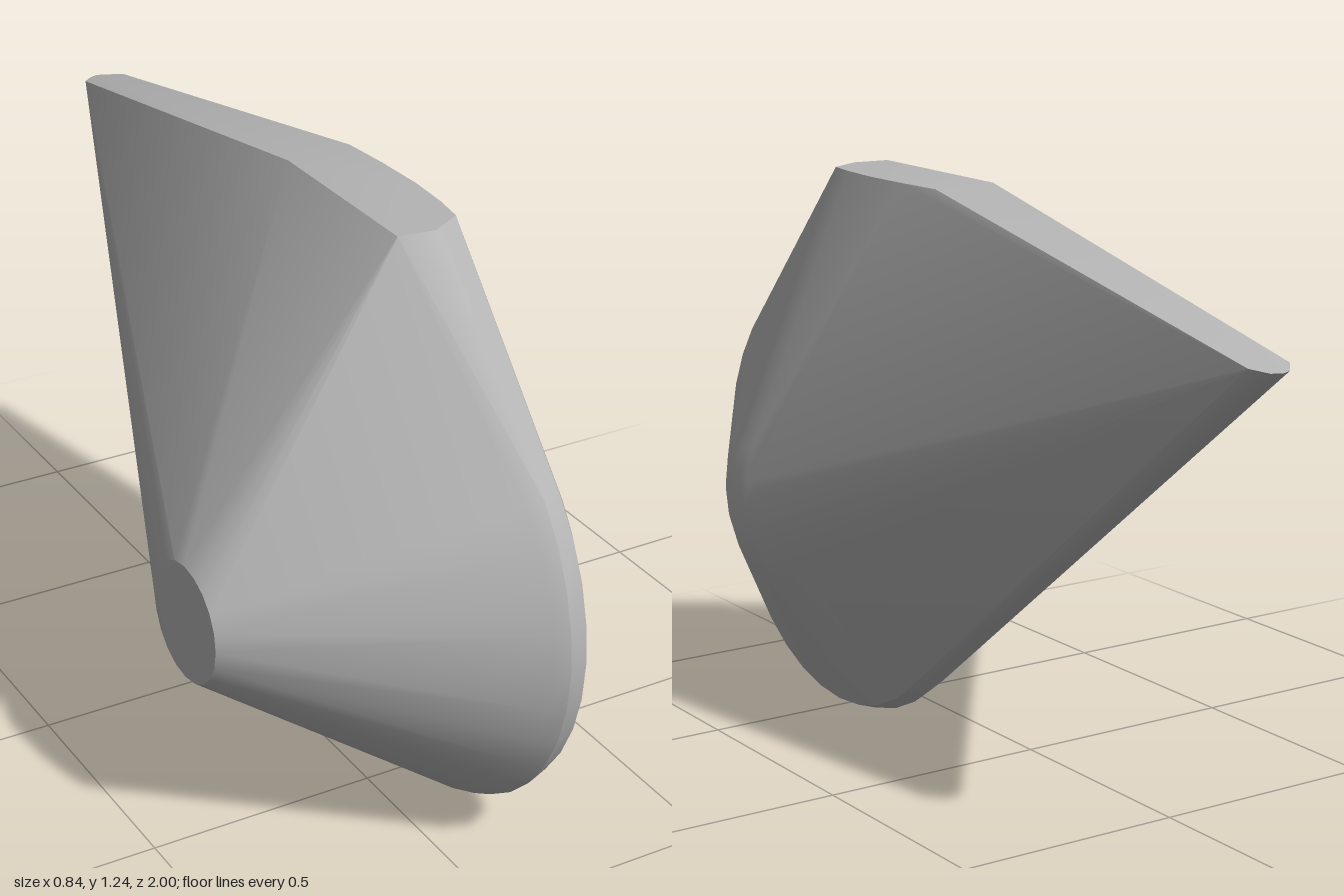
import * as THREE from 'three';
import { ConvexGeometry } from 'three/addons/geometries/ConvexGeometry.js';
import { toCreasedNormals } from 'three/addons/utils/BufferGeometryUtils.js';

export function createModel() {
  const group = new THREE.Group();
  const stoneGrey = new THREE.MeshStandardMaterial({ color: 0xb4b4b4 });
  const points = [];
  const add = (x, y, z) => points.push(new THREE.Vector3(x, y, z));
  const rad = THREE.MathUtils.degToRad;

  // Round front and underside of the narrow rim, slightly crowned
  for (let deg = 40; deg >= -130; deg -= 10) {
    const c = Math.cos(rad(deg)), s = Math.sin(rad(deg));
    for (const [x, r] of [[0.105, 0.487], [0.14, 0.5], [0.185, 0.485]]) {
      add(x, 0.5 + r * s, 0.5 + r * c);
    }
  }

  // Flat top, with a curved right edge
  for (const [x, z] of [[0.04, 0.5], [0.04, 0.08], [0.12, 0.51], [0.19, 0.47],
    [0.2, 0.4], [0.205, 0.3], [0.2, 0.18], [0.19, 0.07]]) add(x, 1.235, z);

  // Pointed tail
  add(0.09, 1.037, -0.96);
  add(0.115, 1.03, -0.99);
  add(0.137, 1.03, -1);
  add(0.16, 1.03, -0.99);
  add(0.187, 1.037, -0.96);

  // Flat round end on the -x side
  for (let i = 0; i < 20; i++) {
    const a = i * Math.PI / 10;
    add(-0.42, 0.508 + 0.127 * Math.sin(a), 0.49 + 0.127 * Math.cos(a));
  }

  // Domed end on the +x side
  add(0.42, 0.505, 0.5);
  for (const polar of [11, 22, 33]) {
    const r = 0.335 * Math.sin(rad(polar));
    for (let i = 0; i < 16; i++) {
      const a = i * Math.PI / 8;
      add(0.085 + 0.335 * Math.cos(rad(polar)), 0.505 + r * Math.sin(a), 0.5 + r * Math.cos(a));
    }
  }

  // One taut skin over the sections, smooth except at the sharp edges
  const body = new THREE.Mesh(toCreasedNormals(new ConvexGeometry(points), rad(30)), stoneGrey);
  body.name = 'body';
  group.add(body);
  return group;
}
